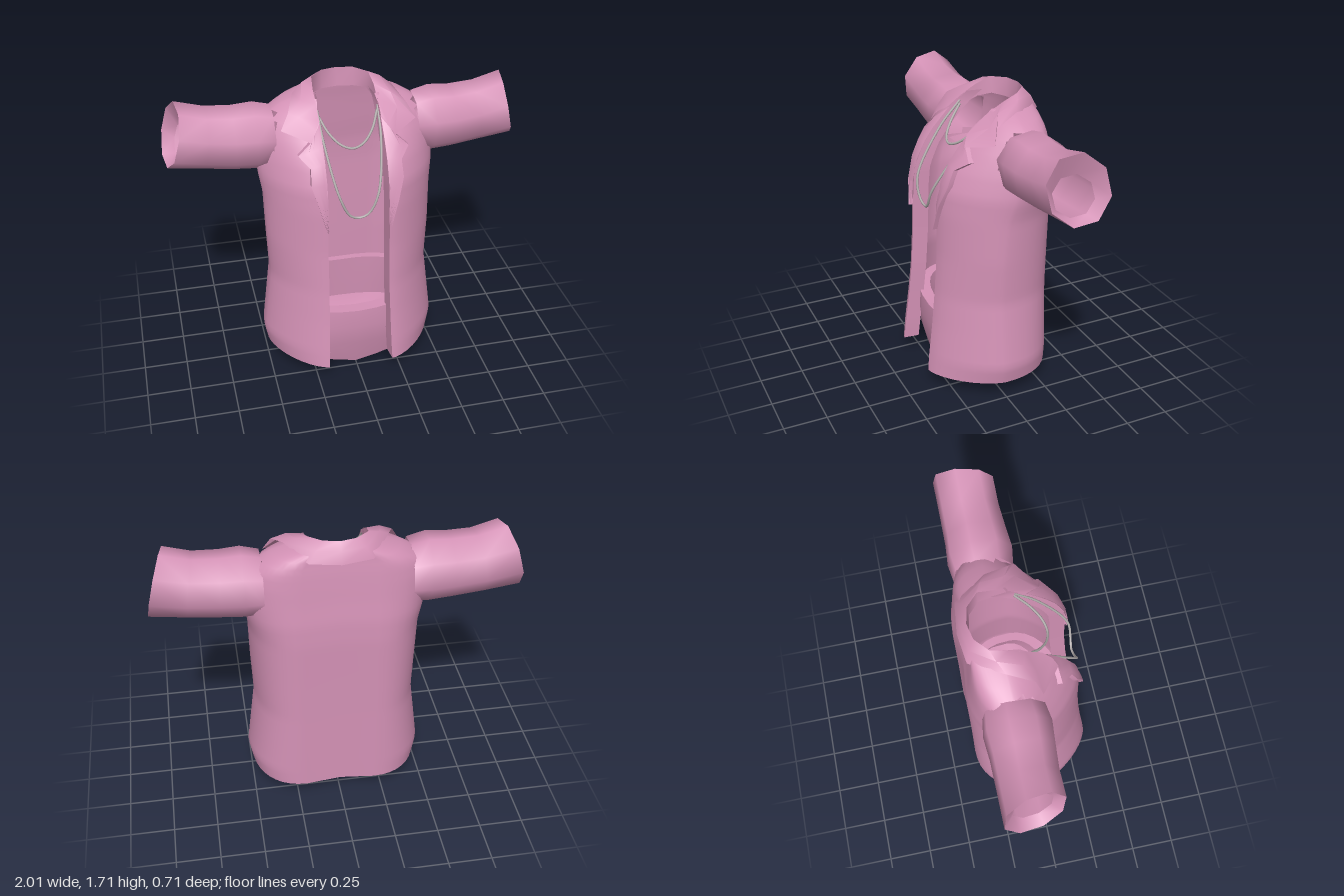
import * as THREE from 'three';
import { toCreasedNormals } from 'three/addons/utils/BufferGeometryUtils.js';

const V = (x, y, z) => new THREE.Vector3(x, y, z);

// Skin a grid of points (rows of equal length); skip() can leave openings.
function loft(rows, { closed = false, skip = () => false, crease = 0.75 } = {}) {
  const n = rows[0].length, index = [];
  for (let i = 0; i < rows.length - 1; i++) {
    for (let j = 0; j < (closed ? n : n - 1); j++) {
      const k = (j + 1) % n;
      const mid = V(0, 0, 0).add(rows[i][j]).add(rows[i][k])
        .add(rows[i + 1][j]).add(rows[i + 1][k]).multiplyScalar(0.25);
      if (skip(mid)) continue;
      const a = i * n + j, b = i * n + k, c = a + n, d = b + n;
      index.push(a, c, b, b, c, d);
    }
  }
  const g = new THREE.BufferGeometry().setFromPoints(rows.flat());
  g.setIndex(index);
  return toCreasedNormals(g, crease);
}

// Jacket sections: height, half width, opening x, front z, back z, side z
const SECTIONS = [
  [0.10, 0.495, 0.190, 0.360, -0.350, 0.00],
  [0.20, 0.515, 0.185, 0.350, -0.350, 0.00],
  [0.40, 0.490, 0.180, 0.325, -0.350, 0.00],
  [0.60, 0.465, 0.175, 0.305, -0.350, 0.00],
  [0.85, 0.475, 0.175, 0.288, -0.352, 0.00],
  [1.10, 0.480, 0.172, 0.282, -0.355, -0.02],
  [1.23, 0.500, 0.170, 0.270, -0.350, -0.06],
  [1.35, 0.500, 0.170, 0.220, -0.335, -0.10],
  [1.45, 0.490, 0.170, 0.150, -0.325, -0.12],
  [1.54, 0.450, 0.170, 0.070, -0.315, -0.13],
  [1.60, 0.360, 0.170, 0.000, -0.305, -0.135],
  [1.64, 0.240, 0.160, -0.050, -0.300, -0.14],
];

function sectionAt(y) {
  let i = 0;
  while (i < SECTIONS.length - 2 && y > SECTIONS[i + 1][0]) i++;
  const a = SECTIONS[i], b = SECTIONS[i + 1];
  const t = THREE.MathUtils.clamp((y - a[0]) / (b[0] - a[0]), 0, 1);
  return a.map((v, k) => v + (b[k] - v) * t);
}

// Depth of the jacket front at a given x and y
const FRONT_POWER = 1.5;
function frontZ(x, y) {
  const [, w, xe, zf, , zm] = sectionAt(y);
  const a = THREE.MathUtils.clamp((x - xe) / (w - xe), 0, 1);
  return zm + (zf - zm) * (1 - a ** FRONT_POWER) ** (1 / FRONT_POWER);
}

// One open jacket section, from the left front edge round the back
function jacketRow(y) {
  const [, w, xe, zf, zb, zm] = sectionAt(y);
  const xb = Math.min(0.2, w * 0.5), half = [V(xe - 0.01, y, zf - 0.09)];
  const N = 10, p = 2 / FRONT_POWER;
  for (let i = 0; i <= N; i++) {
    const a = (i / N) * Math.PI / 2;
    half.push(V(xe + (w - xe) * Math.sin(a) ** p, y, zm + (zf - zm) * Math.abs(Math.cos(a)) ** p));
  }
  for (let i = 1; i <= N; i++) {
    const a = (i / N) * Math.PI / 2;
    half.push(V(xb + (w - xb) * Math.abs(Math.cos(a)) ** 0.9, y, zm + (zb - zm) * Math.sin(a) ** 0.9));
  }
  const other = half.map(v => V(-v.x, v.y, v.z)).reverse();
  return [...half, V(0, y, zb + 0.022), ...other];
}

// Octagonal sleeve with a slanted cuff turned inwards
function sleeveRows(s) {
  // x, centre y, centre z, height radius, depth radius, slant
  const rings = [
    [0.40, 1.41, -0.13, 0.175, 0.17, 0],
    [0.50, 1.42, -0.13, 0.190, 0.185, 0],
    [0.62, 1.42, -0.13, 0.182, 0.175, 0.1],
    [0.78, 1.435, -0.135, 0.176, 0.168, 0.5],
    [0.955, 1.47, -0.135, 0.185, 0.168, 1],
    [0.905, 1.42, -0.135, 0.108, 0.112, 0.6],
  ];
  return rings.map(([x, cy, cz, ry, rz, slant]) => Array.from({ length: 8 }, (_, i) => {
    const a = (i + 0.3) / 8 * Math.PI * 2, c = Math.cos(a), n = Math.sin(a);
    return V(s * (x - slant * (0.042 * n + 0.03 * c)), cy + ry * n, cz + rz * c);
  }));
}

// Lapel lying slightly proud of the jacket front
function lapelRows(s) {
  // inner y, outer x, outer y
  const edge = [
    [1.55, 0.235, 1.475], [1.45, 0.305, 1.41], [1.38, 0.25, 1.36],
    [1.28, 0.255, 1.27], [1.15, 0.22, 1.15], [1.0, 0.18, 1.0],
  ];
  return edge.map(([yi, xo, yo]) => {
    const row = [];
    for (let k = 0; k <= 5; k++) {
      const t = k / 5, x = 0.17 + (xo - 0.17) * t, y = yi + (yo - yi) * t;
      row.push(V(s * x, y, frontZ(x, y) + 0.006 + 0.022 * t));
    }
    row.push(V(s * xo, yo, frontZ(xo, yo) - 0.01));
    return row;
  });
}

// Collar: inner stand, top fold and outer fall, swept round the neck
function collarRows() {
  const stand = [[0.165, 1.54, 0.03], [0.165, 1.57, -0.04], [0.165, 1.60, -0.12],
    [0.15, 1.61, -0.20], [0.09, 1.60, -0.26], [0, 1.60, -0.275]];
  const fold = [[0.17, 1.56, 0.065], [0.17, 1.62, -0.02], [0.17, 1.67, -0.11],
    [0.16, 1.705, -0.20], [0.09, 1.71, -0.265], [0, 1.71, -0.285]];
  const fall = [[0.23, 1.475, frontZ(0.23, 1.475) + 0.03], [0.375, 1.51, frontZ(0.375, 1.51) + 0.035],
    [0.33, 1.59, 0], [0.28, 1.645, -0.14], [0.17, 1.61, -0.32], [0, 1.60, -0.34]];
  const half = fold.map((f, i) => {
    const a = V(...stand[i]), b = V(...f), c = V(...fall[i]);
    const m = b.clone().lerp(c, 0.5).add(V(0, 0.012, i < 3 ? 0.012 : -0.006));
    return [a, b, m, c];
  });
  const other = half.slice(0, -1).reverse().map(r => r.map(v => V(-v.x, v.y, v.z)));
  return [...half, ...other];
}

// Waist piece: lip, front wall, and a shallow gathered underside
function waistRows() {
  const hemY = (x, z) => 0.1 - 0.1 * Math.max(0, 1 - Math.abs(x) / 0.5)
    * THREE.MathUtils.clamp((z + 0.3) / 0.45, 0, 1);
  // width, front z, back z, y (null follows the hem), scale about the gather
  const rings = [
    [0.37, 0.20, -0.27, 0.415, 1], [0.42, 0.27, -0.31, 0.415, 1],
    [0.43, 0.275, -0.315, 0.30, 1], [0.46, 0.255, -0.322, 0.17, 1],
    [0.485, 0.215, -0.326, null, 1], [0.485, 0.215, -0.326, null, 0.7],
    [0.485, 0.215, -0.326, null, 0.35], [0.485, 0.215, -0.326, null, 0.001],
  ];
  return rings.map(([w, zf, zb, y, k]) => Array.from({ length: 32 }, (_, i) => {
    const a = i / 32 * Math.PI * 2, c = Math.cos(a), n = Math.sin(a);
    const x = k * w * Math.sign(c) * Math.abs(c) ** 0.8;
    const z = 0.06 + k * ((n > 0 ? zf * n : zb * Math.abs(n) ** 0.7) - 0.06);
    const fold = k < 1 ? 0.012 * (1 + Math.sin(a * 7)) * k : 0;
    return V(x, y === null ? hemY(x, z) + fold : y + 0.02 * Math.abs(c), z);
  }));
}

// Necklace from half a path, mirrored
function necklace(half) {
  const pts = half.map(p => V(...p));
  const all = [...pts, ...pts.slice(0, -1).reverse().map(v => V(-v.x, v.y, v.z))];
  return new THREE.TubeGeometry(new THREE.CatmullRomCurve3(all), 48, 0.007, 6);
}

export function createModel() {
  const model = new THREE.Group();
  model.name = 'jacketOutfit';
  const pink = new THREE.MeshStandardMaterial({ color: 0xd492b6, side: THREE.DoubleSide });
  pink.name = 'pinkCloth';
  const silver = new THREE.MeshStandardMaterial({ color: 0xb4aeae });
  silver.name = 'silverChain';
  const add = (name, geometry, material = pink) => {
    const mesh = new THREE.Mesh(geometry, material);
    mesh.name = name;
    model.add(mesh);
  };

  // Jacket body with armholes
  const heights = Array.from({ length: 45 }, (_, i) => 0.1 + 1.54 * i / 44);
  const armhole = m => Math.abs(m.x) > 0.34 && Math.hypot(m.y - 1.415, m.z + 0.13) < 0.15;
  add('jacketBody', loft(heights.map(jacketRow), { skip: armhole }));
  add('collar', loft(collarRows(), { crease: 0.9 }));

  for (const [side, s] of [['left', 1], ['right', -1]]) {
    add(side + 'Sleeve', loft(sleeveRows(s), { closed: true, crease: 0.9 }));
    add(side + 'Lapel', loft(lapelRows(s)));
  }

  add('waistPiece', loft(waistRows(), { closed: true }));

  // Chains hanging in the open front
  add('shortNecklace', necklace([[0.168, 1.57, -0.01], [0.12, 1.485, 0.07], [0.06, 1.432, 0.12], [0, 1.415, 0.135]]), silver);
  add('longNecklace', necklace([[0.168, 1.59, -0.01], [0.158, 1.45, 0.12], [0.107, 1.2, 0.28],
    [0.05, 1.085, 0.288], [0, 1.063, 0.282]]), silver);
  return model;
}
